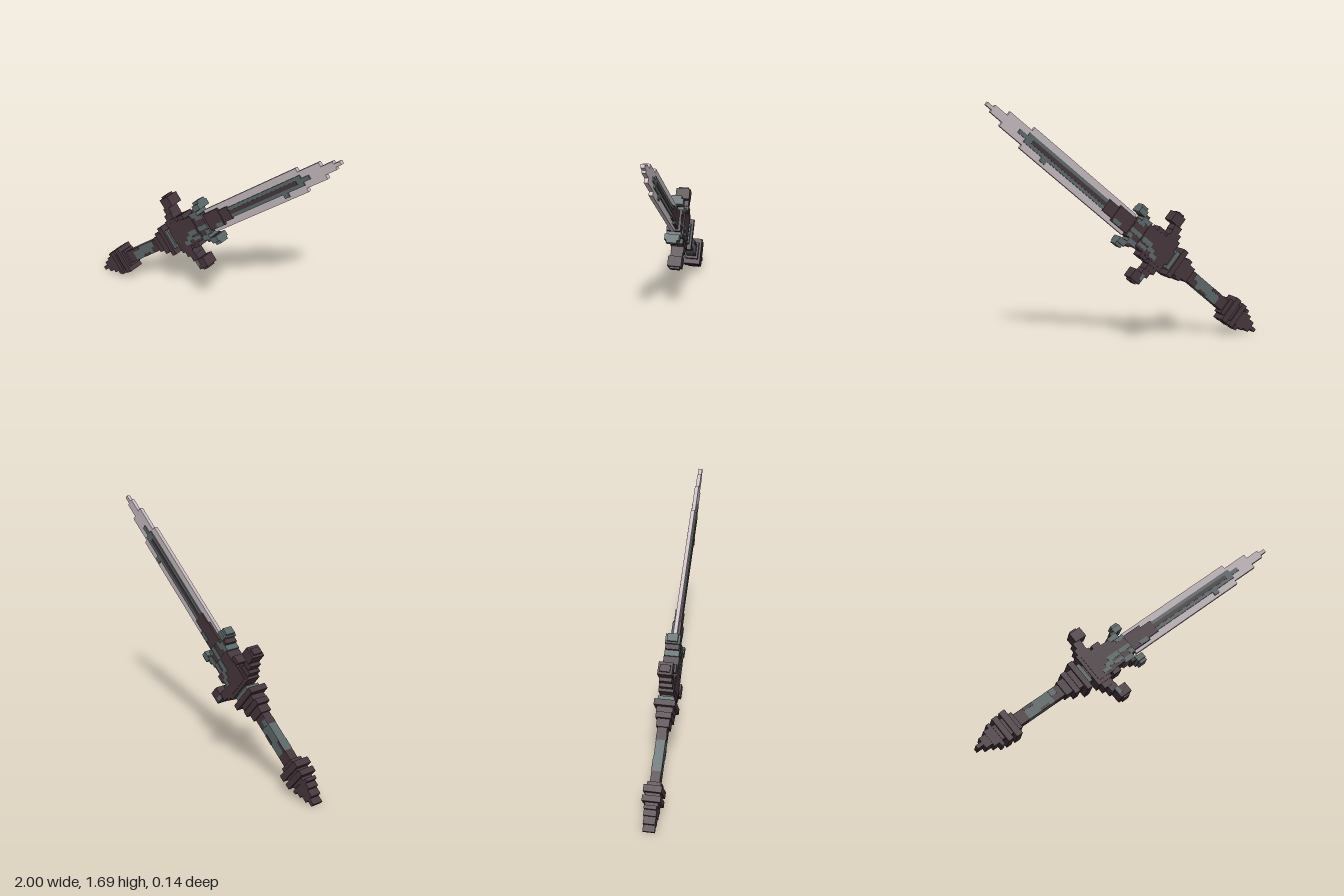
import * as THREE from 'three';

const mat = (name, color) => {
  const m = new THREE.MeshStandardMaterial({ color });
  m.name = name;
  return m;
};

export function createModel() {
  const dark = mat('dark iron', 0x45363b);
  const green = mat('green patina', 0x5b6767);
  const steel = mat('pale steel', 0xc2b7bc);

  // The sword is laid out along local x (pommel to tip), then tilted.
  const sword = new THREE.Group();
  sword.name = 'sword';
  sword.position.y = 0.845;
  sword.rotation.z = 0.6995;

  // Box from its ranges along and across the sword, and its half depth.
  const block = (name, m, u0, u1, v0, v1, hz, z = 0) => {
    const mesh = new THREE.Mesh(new THREE.BoxGeometry(u1 - u0, v1 - v0, hz * 2), m);
    mesh.position.set((u0 + u1) / 2, (v0 + v1) / 2, z);
    mesh.name = name;
    sword.add(mesh);
  };
  // Block centred on the axis.
  const band = (name, m, u0, u1, hv, hz) => block(name, m, u0, u1, -hv, hv, hz);
  // Pair of thin plates on the front and back.
  const inlay = (name, m, u0, u1, v0, v1, z) => {
    for (const s of [-1, 1]) block(name, m, u0, u1, v0, v1, 0.003, s * z);
  };

  // Blade stepping down to its point
  [[-0.01, 0.943, 0.085], [0.943, 1.139, 0.059], [1.139, 1.243, 0.029], [1.243, 1.295, 0.012]]
    .forEach(([a, b, h]) => band('blade', steel, a, b, h, 0.013));

  // Raised spine of the blade
  band('spine', green, 0.2, 0.95, 0.037, 0.021);
  band('spineTip', green, 0.95, 1.018, 0.014, 0.021);
  block('spineNub', green, 0.74, 0.785, -0.065, -0.037, 0.021);
  inlay('spineGroove', dark, 0.22, 0.9, -0.014, 0.014, 0.0205);
  band('spineRoot', dark, -0.02, 0.13, 0.062, 0.03);
  band('spineRoot', dark, 0.13, 0.22, 0.046, 0.025);
  inlay('spineRootInlay', green, 0.05, 0.12, -0.06, -0.03, 0.0295);

  // Guard body
  band('guardBody', dark, -0.385, -0.36, 0.07, 0.05);
  band('guardBody', dark, -0.36, -0.22, 0.1, 0.053);
  band('guardBody', dark, -0.22, -0.12, 0.092, 0.053);
  band('guardNeck', dark, -0.12, -0.02, 0.075, 0.045);

  // Two hooked arms and two small prongs on either side of the guard
  for (const s of [-1, 1]) {
    const side = (name, m, u0, u1, v0, v1, hz) =>
      block(name, m, u0, u1, Math.min(s * v0, s * v1), Math.max(s * v0, s * v1), hz);
    side('guardArm', dark, -0.385, -0.27, 0.06, 0.125, 0.05);
    side('guardArm', dark, -0.365, -0.285, 0.125, 0.165, 0.045);
    side('guardArm', dark, -0.34, -0.28, 0.165, 0.21, 0.042);
    side('guardHook', dark, -0.315, -0.228, 0.205, 0.278, 0.048);
    side('guardHookEnd', dark, -0.298, -0.25, 0.278, 0.291, 0.035);
    side('guardShoulder', dark, -0.25, -0.19, 0.09, 0.125, 0.048);
    side('prongArm', green, -0.13, -0.05, 0.07, 0.105, 0.05);
    side('prongArm', dark, -0.09, -0.03, 0.1, 0.125, 0.046);
    side('prong', green, -0.055, 0.008, 0.105, 0.145, 0.05);
    side('prongEnd', green, -0.045, 0.008, 0.145, 0.165, 0.036);
  }
  // Patina patches on the guard
  [[-0.3, -0.24, -0.085, -0.055], [-0.26, -0.2, -0.06, -0.03], [-0.22, -0.13, -0.035, 0.0],
    [-0.2, -0.12, -0.075, -0.05]]
    .forEach(([a, b, c, d]) => inlay('guardInlay', green, a, b, c, d, 0.0525));
  [[-0.12, -0.02, -0.03, 0.0], [-0.09, -0.02, 0.045, 0.07], [-0.06, -0.02, -0.07, -0.04]]
    .forEach(([a, b, c, d]) => inlay('neckInlay', green, a, b, c, d, 0.0445));
  inlay('hookInlay', green, -0.315, -0.285, -0.25, -0.205, 0.0475);

  // Collar between guard and grip
  band('collarBand', dark, -0.4, -0.385, 0.05, 0.045);
  band('collarBand', green, -0.432, -0.4, 0.072, 0.056);
  band('collarDisc', dark, -0.472, -0.432, 0.11, 0.071);
  band('collarStep', dark, -0.51, -0.472, 0.07, 0.056);
  band('collarStep', dark, -0.55, -0.51, 0.082, 0.052);
  band('collarStep', dark, -0.605, -0.55, 0.056, 0.043);

  // Grip with ragged wrapping
  band('grip', dark, -0.69, -0.605, 0.044, 0.032);
  band('gripWrap', green, -0.9, -0.69, 0.044, 0.032);
  band('grip', dark, -0.985, -0.9, 0.044, 0.032);
  inlay('wrapEdge', green, -0.69, -0.645, 0.0, 0.044, 0.0315);
  inlay('wrapEdge', dark, -0.8, -0.73, -0.044, -0.025, 0.0315);
  inlay('wrapEdge', dark, -0.9, -0.82, 0.022, 0.044, 0.0315);

  // Stepped pommel
  [[-1.005, -0.975, 0.062, 0.045], [-1.05, -1.005, 0.097, 0.061], [-1.072, -1.05, 0.062, 0.05],
    [-1.112, -1.072, 0.092, 0.061], [-1.135, -1.112, 0.055, 0.045], [-1.16, -1.135, 0.084, 0.042],
    [-1.2, -1.16, 0.06, 0.042], [-1.25, -1.2, 0.04, 0.04], [-1.295, -1.25, 0.013, 0.04]]
    .forEach(([a, b, h, z]) => band('pommel', dark, a, b, h, z));
  block('pommelPatch', green, -1.158, -1.137, -0.088, -0.08, 0.04);

  const model = new THREE.Group();
  model.name = 'model';
  model.add(sword);
  return model;
}
